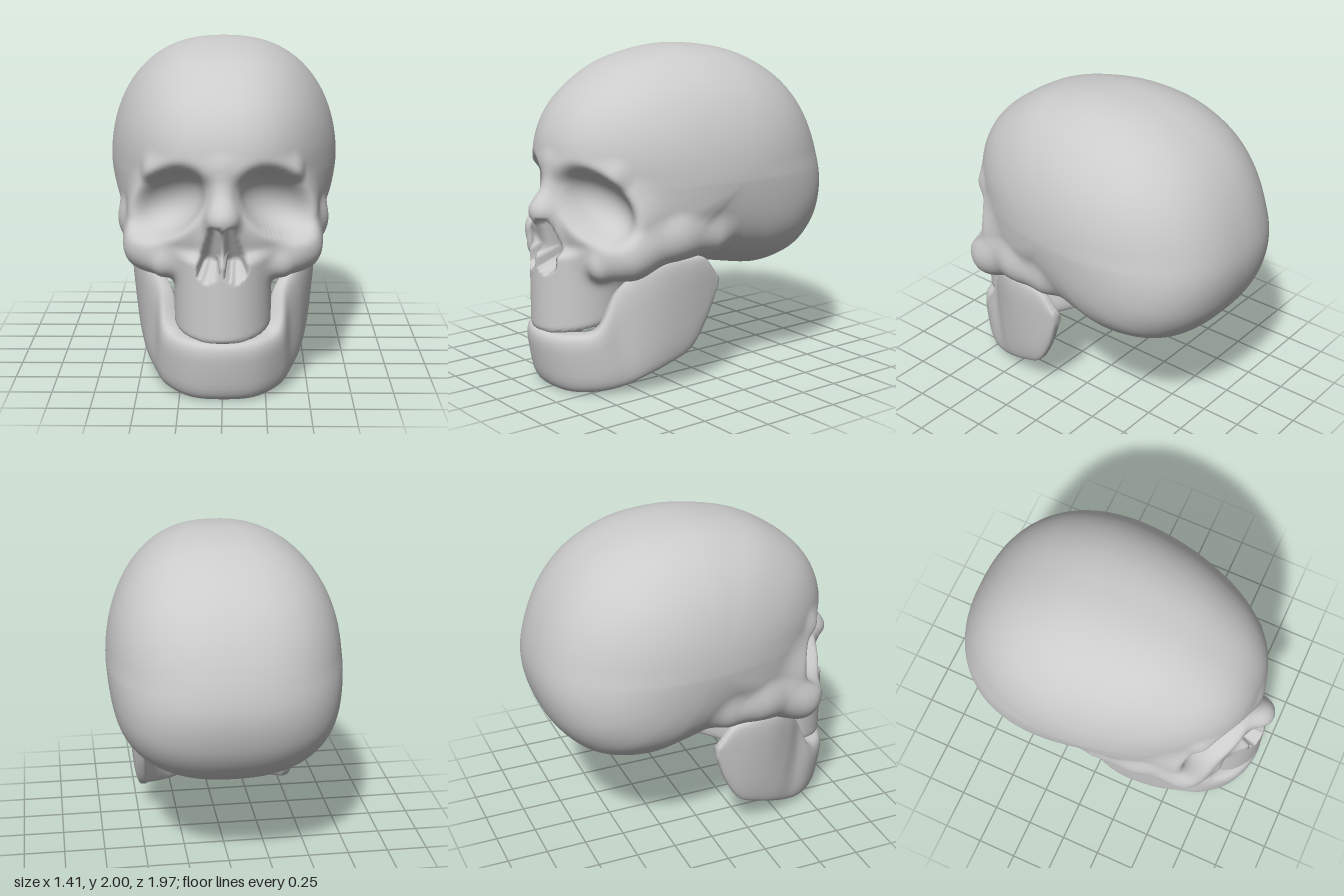
import * as THREE from 'three';
import { mergeVertices } from 'three/addons/utils/BufferGeometryUtils.js';

const V = (x, y, z) => new THREE.Vector3(x, y, z);
const lerp = THREE.MathUtils.lerp;
const bone = new THREE.MeshStandardMaterial({ color: 0xcccccc });

// Soft union and soft intersection of two distances
function join(a, b, k) {
  const h = Math.max(k - Math.abs(a - b), 0) / k;
  return Math.min(a, b) - h * h * k * 0.25;
}
const cut = (a, b, k) => -join(-a, -b, k);

// Distance to an ellipsoid (offset from its centre, radii)
const ellipsoid = (x, y, z, rx, ry, rz) =>
  (Math.hypot(x / rx, y / ry, z / rz) - 1) * Math.min(rx, ry, rz);

// Distance to a tapered stick from a to b; each end is [x, y, z, radius]
function stick(x, y, z, a, b) {
  const dx = b[0] - a[0], dy = b[1] - a[1], dz = b[2] - a[2];
  const t = THREE.MathUtils.clamp(
    ((x - a[0]) * dx + (y - a[1]) * dy + (z - a[2]) * dz) / (dx * dx + dy * dy + dz * dz), 0, 1);
  return Math.hypot(x - a[0] - dx * t, y - a[1] - dy * t, z - a[2] - dz * t) - lerp(a[3], b[3], t);
}

// Side profile of the braincase as [z, y], turned into a radius per angle
const CY = 1.25, CZ = -0.05, BINS = 180;
const sideProfile = [
  [0.87, 1.4], [0.83, 1.56], [0.72, 1.72], [0.456, 1.9], [0.2, 1.975], [-0.07, 2.0], [-0.39, 1.95],
  [-0.68, 1.79], [-0.87, 1.55], [-0.98, 1.19], [-0.94, 0.94], [-0.84, 0.77], [-0.71, 0.66],
  [-0.47, 0.6], [-0.26, 0.63], [-0.05, 0.68], [0.1, 0.74], [0.3, 0.8], [0.5, 0.79], [0.7, 0.84],
  [0.8, 1.02], [0.85, 1.2],
];
function makeRadii() {
  const curve = new THREE.CatmullRomCurve3(sideProfile.map(([z, y]) => V(z - CZ, y - CY, 0)), true);
  const pts = curve.getPoints(6000);
  return Array.from({ length: BINS }, (_, i) => {
    const a = (i / BINS) * Math.PI * 2, c = Math.cos(a), s = Math.sin(a);
    let best = -2, r = 0;
    for (const p of pts) {
      const len = Math.hypot(p.x, p.y), d = (p.x * c + p.y * s) / len;
      if (d > best) { best = d; r = len; }
    }
    return r;
  });
}

function braincase(x, y, z, radii) {
  const a = ((Math.atan2(y - CY, z - CZ) / (Math.PI * 2) + 1) % 1) * BINS;
  const i = Math.floor(a) % BINS;
  const radius = lerp(radii[i], radii[(i + 1) % BINS], a - Math.floor(a));
  const side = Math.hypot(y - CY, z - CZ) / radius;
  const p = lerp(3, 2.05, THREE.MathUtils.smoothstep(y, 0.8, 1.35));
  const width = 0.69 - 0.1 * THREE.MathUtils.clamp(z, -1, 1) - 0.07 * Math.max(1.25 - y, 0);
  return (Math.pow(Math.pow(side, p) + Math.pow(x / width, 2.4), 0.43) - 1) * 0.6;
}

// The whole skull without its lower jaw; x is mirrored
function skullField(px, y, z, radii) {
  const x = Math.abs(px);
  let d = braincase(x, y, z, radii);
  // middle of the face and brow ridge
  d = join(d, ellipsoid(x, y - 1.02, z - 0.55, 0.55, 0.36, 0.33), 0.08);
  d = join(d, stick(x, y, z, [0, 1.34, 0.8, 0.06], [0.38, 1.31, 0.66, 0.05]), 0.08);
  // cheekbone and the wall running back to the ear
  d = join(d, stick(x, y, z, [0.33, 0.79, 0.71, 0.095], [0.43, 0.85, 0.6, 0.125]), 0.08);
  d = join(d, stick(x, y, z, [0.43, 0.85, 0.6, 0.125], [0.48, 0.94, 0.3, 0.13]), 0.08);
  d = join(d, stick(x, y, z, [0.48, 0.94, 0.3, 0.13], [0.5, 0.93, 0.08, 0.13]), 0.08);
  // upper jaw: an upright oval column, its underside rising to the rear
  const column = (Math.hypot(x / 0.28, (z - 0.66) / 0.3) - 1) * 0.28;
  const floor = 0.36 + 0.2 * Math.max(0.96 - z, 0) + 0.8 * Math.max(0.58 - z, 0);
  d = join(d, cut(cut(column, floor - y, 0.03), y - 0.85, 0.04), 0.07);
  // nose bridge and rim
  d = join(d, stick(x, y, z, [0, 1.27, 0.83, 0.04], [0, 1.08, 0.9, 0.075]), 0.06);
  d = join(d, stick(x, y, z, [0, 1.08, 0.9, 0.075], [0, 0.84, 0.755, 0.135]), 0.07);
  // eye sockets, opening outward and tilted down and back toward the sides
  const ex = x - 0.31;
  d = cut(d, -ellipsoid(ex - 0.45 * (z - 0.74), y - 1.14 + 0.25 * ex - 0.2 * (z - 0.75),
    z - 0.86 + 0.5 * ex, 0.28, 0.195, 0.3), 0.06);
  // nasal openings, stretched in depth
  const s = 1.8, hy = y + 0.15 * (z - 0.87);
  return cut(d, -stick(x, hy, z / s, [0.044, 1.02, 0.94 / s, 0.032], [0.074, 0.805, 0.88 / s, 0.062]), 0.025);
}

// Evenly divided ball shrunk inward until it touches the skull
function skullGeometry() {
  const radii = makeRadii(), n = 104, centre = V(0, 1.08, -0.1);
  let geo = new THREE.BoxGeometry(2, 2, 2, n, n, n);
  geo.deleteAttribute('uv');
  geo.deleteAttribute('normal');
  geo = mergeVertices(geo, 1e-4);
  const pos = geo.attributes.position, dir = V(0, 0, 0), p = V(0, 0, 0);
  const warp = (v) => Math.tan(v * Math.PI / 4);
  for (let i = 0; i < pos.count; i++) {
    dir.set(warp(pos.getX(i)), warp(pos.getY(i)), warp(pos.getZ(i))).normalize();
    const field = (t) => {
      p.copy(centre).addScaledVector(dir, t);
      return skullField(p.x, p.y, p.z, radii);
    };
    let t = 1.5, last = t, f = field(t);
    while (f > 0 && t > 0.05) {
      last = t;
      t -= Math.max(f * 0.4, 0.003);
      f = field(t);
    }
    let lo = t, hi = last;
    for (let k = 0; k < 9; k++) {
      const m = (lo + hi) / 2;
      if (field(m) > 0) hi = m; else lo = m;
    }
    p.copy(centre).addScaledVector(dir, lo);
    pos.setXYZ(i, p.x, p.y, p.z);
  }
  geo.computeVertexNormals();
  return geo;
}

// Lower jaw sections from chin to joint: bottom x, y, z, top x, y, z, half thickness
const jawRows = [
  [0, 0.0, 0.825, 0, 0.365, 0.895, 0.085],
  [0.16, 0.0, 0.79, 0.17, 0.37, 0.85, 0.085],
  [0.29, 0.02, 0.67, 0.28, 0.4, 0.74, 0.08],
  [0.37, 0.06, 0.55, 0.33, 0.62, 0.63, 0.06],
  [0.42, 0.11, 0.44, 0.42, 0.74, 0.53, 0.055],
  [0.45, 0.16, 0.32, 0.49, 0.8, 0.41, 0.05],
  [0.47, 0.22, 0.2, 0.52, 0.81, 0.26, 0.045],
  [0.485, 0.37, 0.1, 0.52, 0.79, 0.13, 0.04],
  [0.5, 0.58, 0.02, 0.51, 0.66, 0.02, 0.03],
];

// Horseshoe loft of rounded upright sections, closed at both ends
function jawGeometry() {
  const mirrored = jawRows.slice(1).reverse().map((r) => [-r[0], r[1], r[2], -r[3], r[4], r[5], r[6]]);
  const rows = [...mirrored, ...jawRows];
  const low = new THREE.CatmullRomCurve3(rows.map((r) => V(r[0], r[1], r[2])));
  const high = new THREE.CatmullRomCurve3(rows.map((r) => V(r[3], r[4], r[5])));
  const thick = new THREE.CatmullRomCurve3(rows.map((r, i) => V(i, r[6], 0)));
  const n = 130, m = 36, pos = [], index = [];
  const round = (v) => Math.sign(v) * Math.pow(Math.abs(v), 0.6);
  for (let i = 0; i <= n; i++) {
    const u = THREE.MathUtils.clamp((i - 1) / (n - 2), 0, 1);
    const grow = i === 0 || i === n ? 0 : 1;
    const a = low.getPoint(u), b = high.getPoint(u), half = thick.getPoint(u).y;
    const u0 = Math.max(u - 0.02, 0), u1 = Math.min(u + 0.02, 1);
    const tan = low.getPoint(u1).add(high.getPoint(u1)).sub(low.getPoint(u0)).sub(high.getPoint(u0));
    const out = V(-tan.z, 0, tan.x).normalize();
    for (let j = 0; j < m; j++) {
      const f = (j / m) * Math.PI * 2;
      const q = a.clone().lerp(b, 0.5 + 0.5 * grow * round(Math.cos(f)));
      q.addScaledVector(out, half * grow * round(Math.sin(f)));
      pos.push(q.x, Math.max(q.y, 0), q.z);
      const k = i * m + j, k1 = i * m + ((j + 1) % m);
      if (i < n) index.push(k, k1, k + m, k1, k1 + m, k + m);
    }
  }
  const geo = new THREE.BufferGeometry();
  geo.setAttribute('position', new THREE.Float32BufferAttribute(pos, 3));
  geo.setIndex(index);
  geo.computeVertexNormals();
  return geo;
}

export function createModel() {
  const group = new THREE.Group();
  group.name = 'skull';
  const parts = { cranium: skullGeometry(), lowerJaw: jawGeometry() };
  for (const [name, geometry] of Object.entries(parts)) {
    const mesh = new THREE.Mesh(geometry, bone);
    mesh.name = name;
    group.add(mesh);
  }
  return group;
}
